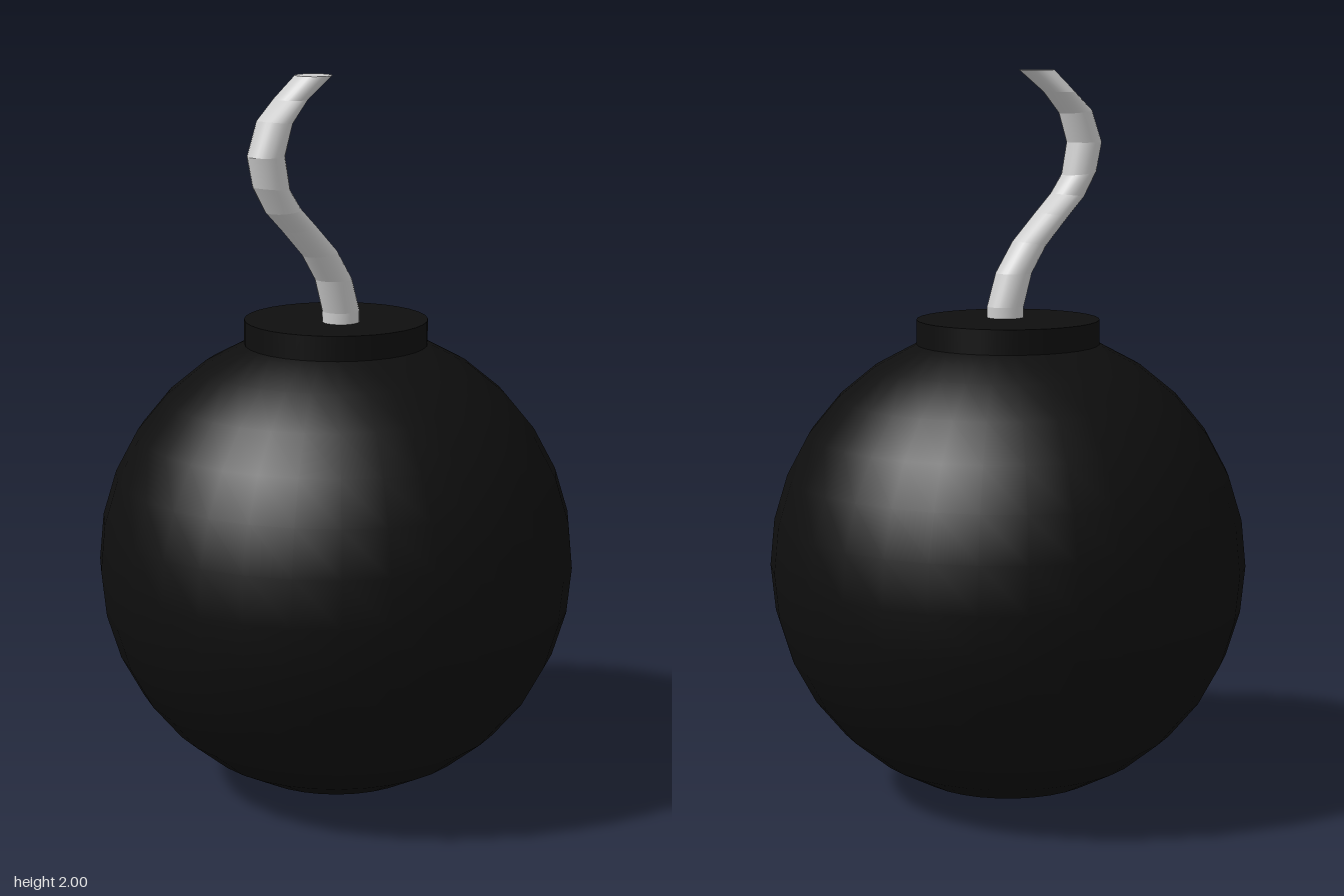
import * as THREE from 'three';

const black = new THREE.MeshStandardMaterial({ color: 0x0e0e0e });
const grey = new THREE.MeshStandardMaterial({ color: 0xcccccc });

// Fuse cross-sections, bottom to top: [centre x, front z, front y, back z, back y]
const FUSE_RINGS = [
  [0.038, 0.07, 1.30, -0.03, 1.30],
  [0.038, 0.072, 1.36, -0.03, 1.36],
  [0.038, 0.10, 1.45, 0.0, 1.45],
  [0.038, 0.148, 1.52, 0.06, 1.535],
  [0.038, 0.225, 1.595, 0.14, 1.61],
  [0.044, 0.29, 1.65, 0.20, 1.66],
  [0.039, 0.33, 1.72, 0.235, 1.71],
  [0.038, 0.349, 1.80, 0.252, 1.80],
  [0.038, 0.312, 1.89, 0.225, 1.88],
  [0.038, 0.25, 1.94, 0.17, 1.94],
  [0.065, 0.20, 2.0, 0.104, 2.0],
];
const FUSE_SIDES = 24;
const FUSE_RADIUS = 0.05;

// Lofts the rings; every band has its own vertices so the bends stay crisp
function fuseGeometry() {
  const positions = [];
  const index = [];
  const addRing = ([cx, zf, yf, zb, yb]) => {
    const start = positions.length / 3;
    for (let i = 0; i < FUSE_SIDES; i++) {
      const a = (i / FUSE_SIDES) * Math.PI * 2;
      const t = (Math.cos(a) + 1) / 2;
      positions.push(cx + FUSE_RADIUS * Math.sin(a), yb + (yf - yb) * t, zb + (zf - zb) * t);
    }
    return start;
  };
  for (let r = 0; r < FUSE_RINGS.length - 1; r++) {
    const lo = addRing(FUSE_RINGS[r]);
    const hi = addRing(FUSE_RINGS[r + 1]);
    for (let i = 0; i < FUSE_SIDES; i++) {
      const j = (i + 1) % FUSE_SIDES;
      index.push(lo + i, lo + j, hi + j, lo + i, hi + j, hi + i);
    }
  }
  // flat end
  const end = addRing(FUSE_RINGS[FUSE_RINGS.length - 1]);
  for (let i = 1; i < FUSE_SIDES - 1; i++) index.push(end, end + i, end + i + 1);

  const geometry = new THREE.BufferGeometry();
  geometry.setAttribute('position', new THREE.Float32BufferAttribute(positions, 3));
  geometry.setIndex(index);
  geometry.computeVertexNormals();
  return geometry;
}

export function createModel() {
  const model = new THREE.Group();
  const add = (name, geometry, material, y = 0) => {
    const mesh = new THREE.Mesh(geometry, material);
    mesh.name = name;
    mesh.position.y = y;
    model.add(mesh);
  };

  // round body
  add('body', new THREE.SphereGeometry(0.656, 32, 16), black, 0.656);

  // short collar sunk into the top of the body
  add('collar', new THREE.CylinderGeometry(0.25, 0.25, 0.13, 32), black, 1.265);

  // curved fuse rising from the collar
  add('fuse', fuseGeometry(), grey);

  return model;
}
